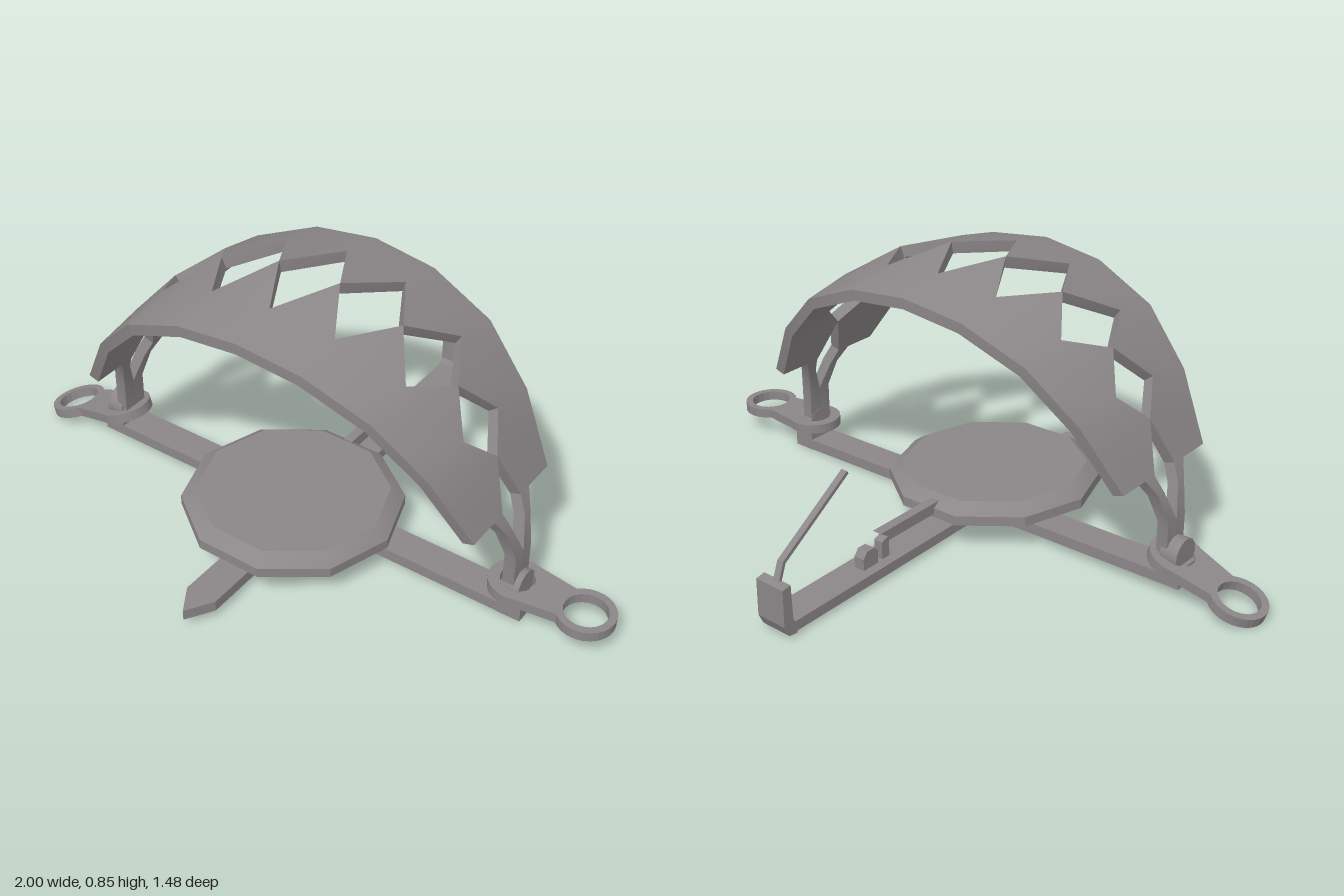
import * as THREE from 'three';
import { toCreasedNormals } from 'three/addons/utils/BufferGeometryUtils.js';

const ZC = 0.155; // depth of the hinge line
const steel = new THREE.MeshStandardMaterial({ color: 0x8b8688 });
steel.name = 'steelGrey';

function part(parent, name, geometry, x = 0, y = 0, z = 0) {
  const mesh = new THREE.Mesh(geometry, steel);
  mesh.name = name;
  mesh.position.set(x, y, z);
  parent.add(mesh);
  return mesh;
}

// Loft through four-cornered rings, capped at both ends
function loft(rings) {
  const index = [];
  for (let i = 0; i < rings.length - 1; i++) {
    for (let k = 0; k < 4; k++) {
      const a = i * 4 + k, b = i * 4 + (k + 1) % 4;
      index.push(a, a + 4, b + 4, a, b + 4, b);
    }
  }
  const e = (rings.length - 1) * 4;
  index.push(0, 1, 2, 0, 2, 3, e, e + 2, e + 1, e, e + 3, e + 2);
  const g = new THREE.BufferGeometry();
  g.setAttribute('position', new THREE.Float32BufferAttribute(rings.flat(2), 3));
  g.setIndex(index);
  return toCreasedNormals(g, 0.5);
}

// One jaw: curved band with teeth on its inner edge and a narrow leg at each end
function jawGeometry() {
  // arc corners: x, y, depth of the notch between teeth
  const arc = [[0, 0.8, 0.18], [0.2, 0.775, 0.17], [0.4, 0.69, 0.14], [0.55, 0.545, 0.09], [0.66, 0.36, 0.05]];
  const width = y => 0.2 + 0.29 * (y - 0.36);
  const half = []; // x, y, outer depth, inner depth
  arc.forEach(([x, y, notch], i) => {
    half.push([x, y, width(y), notch]);
    if (i < arc.length - 1) {
      const mx = (x + arc[i + 1][0]) / 2, my = (y + arc[i + 1][1]) / 2;
      half.push([mx, my, width(my), 0]);
    }
  });
  half.push([0.66, 0.36, 0.095, 0.05], [0.685, 0.31, 0.065, 0.035], [0.708, 0.22, 0.042, 0], [0.708, 0.11, 0.042, 0]);
  const left = half.slice(1).reverse().map(([x, ...rest]) => [-x, ...rest]);
  return loft([...left, ...half].map(([x, y, wo, wi]) => {
    const rise = y > 0.4 ? 0.2 * (wo - wi) : 0;
    const s = 0.95, low = v => y > 0.25 ? 0.15 + (v - 0.15) * s : v;
    return [[x, y, wo], [x, y + rise, wi], [x * s, low(y + rise), wi], [x * s, low(y), wo]];
  }));
}

// Flat plan outline extruded upward
function plate(shape, depth) {
  return new THREE.ExtrudeGeometry(shape, { depth, bevelEnabled: false, curveSegments: 10 }).rotateX(-Math.PI / 2);
}

// Side outline given as [z, y], extruded across x
function sideProfile(points, depth) {
  const shape = new THREE.Shape(points.map(([z, y]) => new THREE.Vector2(-z, y)));
  return new THREE.ExtrudeGeometry(shape, { depth, bevelEnabled: false })
    .translate(0, 0, -depth / 2).rotateY(Math.PI / 2);
}

// Lever with a ring at its outer end and a collar around the hinge
function leverGeometry() {
  const shape = new THREE.Shape();
  shape.absarc(0.21, 0, 0.085, -2.35, 2.35, false);
  shape.absarc(0, 0, 0.083, 1.2, Math.PI * 2 - 1.2, false);
  for (const [x, r] of [[0.21, 0.063], [0, 0.05]]) {
    const hole = new THREE.Path();
    hole.absarc(x, 0, r, 0, Math.PI * 2, true);
    shape.holes.push(hole);
  }
  return plate(shape, 0.03).translate(0, -0.015, 0);
}

export function createModel() {
  const model = new THREE.Group();
  model.name = 'jawTrap';

  // Jaws, closed against each other
  const jaws = new THREE.Group();
  jaws.name = 'jaws';
  jaws.position.z = ZC;
  jaws.rotation.z = -0.01;
  model.add(jaws);
  const jaw = jawGeometry();
  part(jaws, 'frontJaw', jaw);
  part(jaws, 'backJaw', jaw).rotation.y = Math.PI;

  // Crossed base bars
  part(model, 'crossBar', new THREE.BoxGeometry(1.48, 0.034, 0.1), -0.015, 0.04, ZC).rotation.z = -0.024;
  const bar = new THREE.Shape();
  bar.moveTo(-0.05, 0.71);
  bar.lineTo(-0.05, -0.66);
  bar.lineTo(0, -0.74);
  bar.lineTo(0.05, -0.66);
  bar.lineTo(0.05, 0.71);
  part(model, 'longBar', plate(bar, 0.032), -0.01, 0.021, 0).rotation.x = -0.01;

  // Hinges and ringed levers at both ends of the cross bar
  const lever = leverGeometry();
  for (const [name, side, x, base, y, tilt] of [
    ['right', -1, -0.715, 0.04, 0.105, 0.29],
    ['left', 1, 0.7, 0.005, 0.09, -0.03],
  ]) {
    const hinge = new THREE.Group();
    hinge.name = name + 'Hinge';
    hinge.position.set(x, 0, ZC);
    model.add(hinge);
    part(hinge, 'hingeBlock', new THREE.BoxGeometry(0.07, 0.06, 0.1), side * 0.005, base + 0.03, 0);
    part(hinge, 'hingeKnob', toCreasedNormals(
      new THREE.CylinderGeometry(0.05, 0.05, 0.055, 14).rotateZ(Math.PI / 2), 0.6), 0, base + 0.085, 0);
    const arm = part(hinge, 'ringLever', lever, 0, y, 0);
    arm.rotation.set(0, side < 0 ? Math.PI : 0, tilt, 'ZYX');
  }

  // Ten-sided pressure plate with a sloping rim
  const pan = new THREE.Group();
  pan.name = 'pressurePlate';
  pan.position.set(-0.012, 0, 0.225);
  pan.rotation.z = -0.03;
  model.add(pan);
  const facet = (top, bottom, h) =>
    toCreasedNormals(new THREE.CylinderGeometry(top, bottom, h, 10).rotateY(Math.PI / 10), 0.4);
  part(pan, 'plateTop', facet(0.285, 0.328, 0.03), 0, 0.133, 0);
  part(pan, 'plateRim', facet(0.328, 0.328, 0.03), 0, 0.103, 0);
  part(pan, 'plateHub', facet(0.05, 0.05, 0.05), 0, 0.07, -0.06);

  // Catch arm behind the plate, with its hook and stop
  part(model, 'catchArm', sideProfile([
    [0, 0.1], [0, 0.135], [-0.32, 0.135], [-0.29, 0.115], [-0.315, 0.105],
    [-0.315, 0.04], [-0.285, 0.04], [-0.285, 0.1],
  ], 0.03), -0.013, 0, 0);
  part(model, 'catchStop', sideProfile([
    [-0.335, 0.03], [-0.335, 0.09], [-0.35, 0.105], [-0.38, 0.105], [-0.395, 0.085], [-0.395, 0.03],
  ], 0.035), -0.013, 0, 0);

  // Upturned back end of the long bar and the trigger rod
  part(model, 'backPost', sideProfile([
    [-0.695, 0.012], [-0.725, 0.016], [-0.742, 0.05], [-0.742, 0.165], [-0.712, 0.17], [-0.708, 0.06], [-0.695, 0.045],
  ], 0.1), -0.015, 0, 0);
  const from = new THREE.Vector3(-0.02, 0.16, -0.72), to = new THREE.Vector3(-0.002, 0.372, -0.432);
  const bend = new THREE.Vector3(-0.016, 0.215, -0.695);
  for (const [name, a, b] of [['triggerFoot', from, bend], ['triggerRod', bend, to]]) {
    const rod = part(model, name, new THREE.BoxGeometry(0.02, 0.012, a.distanceTo(b) + 0.006));
    rod.position.copy(a).add(b).multiplyScalar(0.5);
    rod.lookAt(b);
  }
  return model;
}
